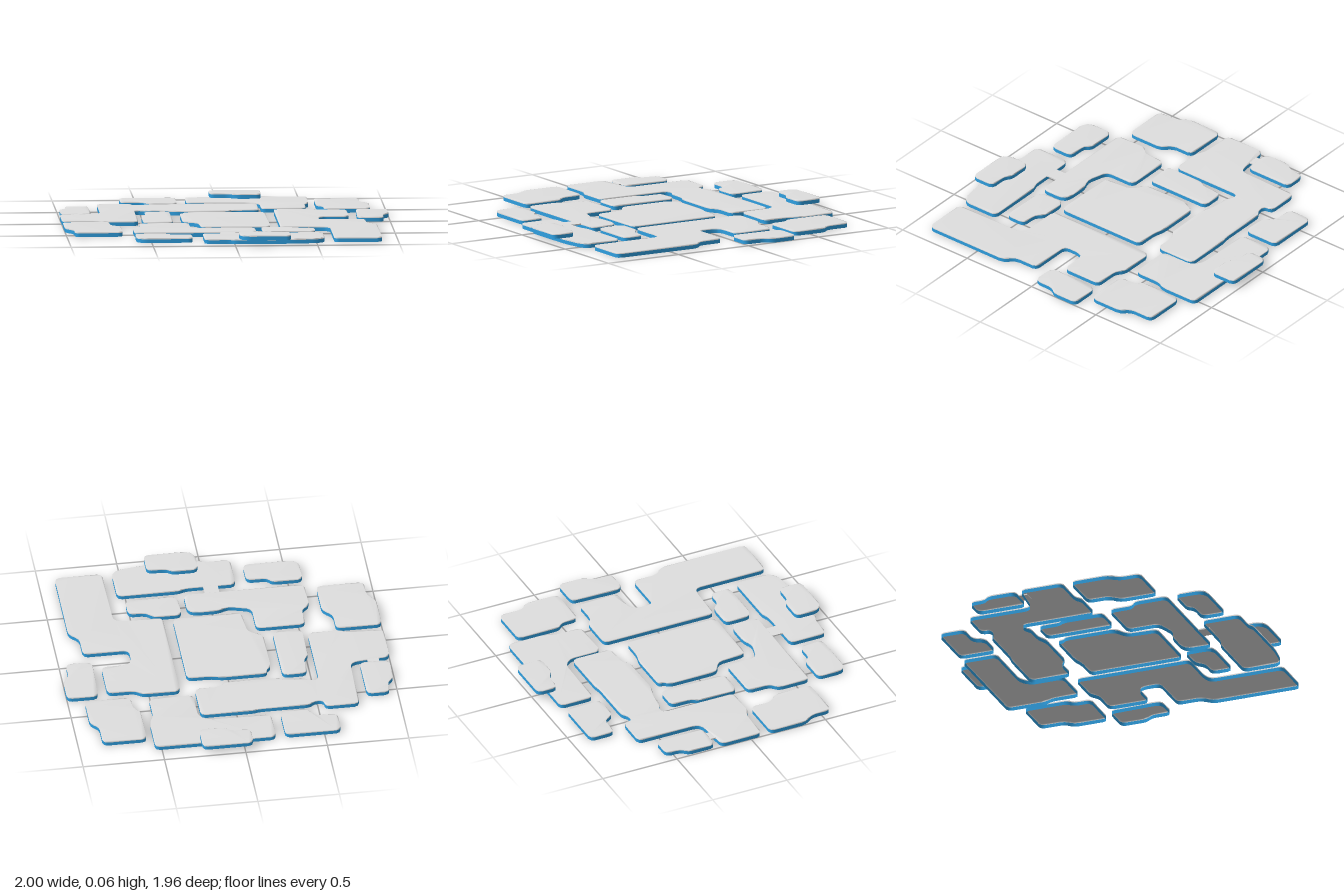
import * as THREE from 'three';

const grey = new THREE.MeshStandardMaterial({ color: 0xdedede, side: THREE.DoubleSide });
const blue = new THREE.MeshStandardMaterial({ color: 0x2f9fe0, side: THREE.DoubleSide });
grey.name = 'pale grey';
blue.name = 'bright blue';

// Outlines as x, z pairs, clockwise seen from above
const ground = {
  backLeftTile: [-.6, -.89, -.26, -.89, -.26, -.66, -.43, -.66, -.46, -.73, -.6, -.73],
  backTile: [-.2, -.9, .54, -.9, .54, -.65, .51, -.6, .51, -.42, .24, -.42, .24, -.63, .18, -.68, -.2, -.68],
  backRightTile: [.58, -.81, .85, -.81, .85, -.65, .9, -.61, .9, -.39, .62, -.39, .62, -.5, .58, -.53],
  leftSmallTile: [-.95, -.55, -.81, -.55, -.81, -.24, -.99, -.24, -.99, -.42, -.95, -.45],
  leftZigzagTile: [-.75, -.64, -.54, -.64, -.54, -.58, -.48, -.58, -.45, -.61, -.14, -.61, -.1, -.62, .22, -.62,
    .22, -.36, .07, -.36, .03, -.32, -.28, -.32, -.34, -.35, -.46, -.35, -.48, -.375, -.54, -.375,
    -.54, .1, -.75, .1, -.78, .07, -1, .07, -1, -.2, -.78, -.22, -.75, -.25],
  innerSmallTile: [-.48, -.29, -.33, -.29, -.33, .14, -.51, .14, -.51, -.12, -.48, -.15],
  centreTile: [-.24, -.26, .04, -.26, .1, -.24, .25, -.24, .25, .36, -.17, .36, -.18, .17, -.27, .12, -.27, -.2, -.24, -.22],
  rightZigzagTile: [.31, -.36, .54, -.36, .58, -.32, .75, -.32, .75, -.06, .59, -.06, .56, -.02, .56, .09,
    .84, .09, .84, .25, .9, .3, .9, .87, .61, .87, .61, .4, .55, .38, .31, .38],
  rightSmallTile: [.81, -.34, 1, -.34, 1, -.17, .96, -.13, .96, 0, .82, 0, .8, -.03],
  frontLeftTile: [-1, .13, -.72, .13, -.72, .27, -.66, .32, -.66, .56, -.95, .56, -.95, .43, -1, .37],
  innerFrontTile: [-.54, .2, -.24, .2, -.24, .4, -.1, .44, -.04, .41, .11, .41, .15, .44, .15, .59, -.59, .59, -.59, .38, -.54, .35],
  smallFrontTile: [.19, .4, .36, .4, .4, .45, .51, .45, .51, .58, .22, .58, .19, .55],
  frontOuterTile: [-.59, .65, -.4, .65, -.38, .69, -.25, .69, -.25, .84, -.55, .84, -.59, .81],
  frontTile: [-.18, .66, .13, .66, .17, .64, .55, .64, .55, .87, .5, .9, .35, .92, 0, .92, -.02, .9, -.18, .9],
};
const raised = {
  backRaisedTile: [-.05, -.98, .26, -.98, .26, -.81, .11, -.81, .07, -.85, -.05, -.85],
  frontRaisedTile: [.03, .8, .19, .8, .22, .83, .34, .83, .34, .98, .07, .98, .03, .94],
};

// Softens every corner with two short segments
function softOutline(flat) {
  const pts = [];
  for (let i = 0; i < flat.length; i += 2) pts.push(new THREE.Vector2(flat[i], flat[i + 1]));
  const out = [];
  pts.forEach((p, i) => {
    const toward = (q) => p.clone().lerp(q, Math.min(0.03 / p.distanceTo(q), 0.4));
    const a = toward(pts[(i + pts.length - 1) % pts.length]);
    const b = toward(pts[(i + 1) % pts.length]);
    const mid = a.clone().add(b).multiplyScalar(0.5).lerp(p, 0.4);
    out.push(a, mid, b);
  });
  return out;
}

// A band of wall between two heights, optionally closed on top
function shell(outline, y0, y1, closed) {
  const n = outline.length, positions = [], index = [];
  for (const y of [y1, y0]) for (const p of outline) positions.push(p.x, y, p.y);
  for (let i = 0; i < n; i++) {
    const j = (i + 1) % n;
    index.push(i, j, n + i, n + i, j, n + j);
  }
  if (closed) {
    for (const [a, b, c] of THREE.ShapeUtils.triangulateShape(outline, [])) {
      const up = THREE.ShapeUtils.area([outline[a], outline[b], outline[c]]) < 0;
      index.push(...(up ? [a, b, c] : [a, c, b]));
    }
  }
  const geo = new THREE.BufferGeometry();
  geo.setAttribute('position', new THREE.Float32BufferAttribute(positions, 3));
  geo.setIndex(index);
  geo.computeVertexNormals();
  return geo;
}

function mesh(name, geometry, material) {
  const m = new THREE.Mesh(geometry, material);
  m.name = name;
  return m;
}

// Hollow tile: blue rim under a pale cap, open below
function tile(name, flat, base) {
  const g = new THREE.Group();
  g.name = name;
  const outline = softOutline(flat);
  g.add(mesh('rim', shell(outline, base, base + 0.022, false), blue));
  g.add(mesh('cap', shell(outline, base + 0.022, base + 0.03, true), grey));
  return g;
}

export function createModel() {
  const model = new THREE.Group();
  model.name = 'tileMosaic';
  for (const [name, flat] of Object.entries(ground)) model.add(tile(name, flat, 0));
  for (const [name, flat] of Object.entries(raised)) model.add(tile(name, flat, 0.031));

  // Small bridges joining neighbouring tiles
  for (const [name, w, d, x, z] of [
    ['leftBridge', 0.07, 0.07, -0.895, -0.22],
    ['frontBridge', 0.09, 0.08, -0.025, 0.625],
  ]) {
    const bridge = mesh(name, new THREE.BoxGeometry(w, 0.008, d), grey);
    bridge.position.set(x, 0.025, z);
    model.add(bridge);
  }
  return model;
}
